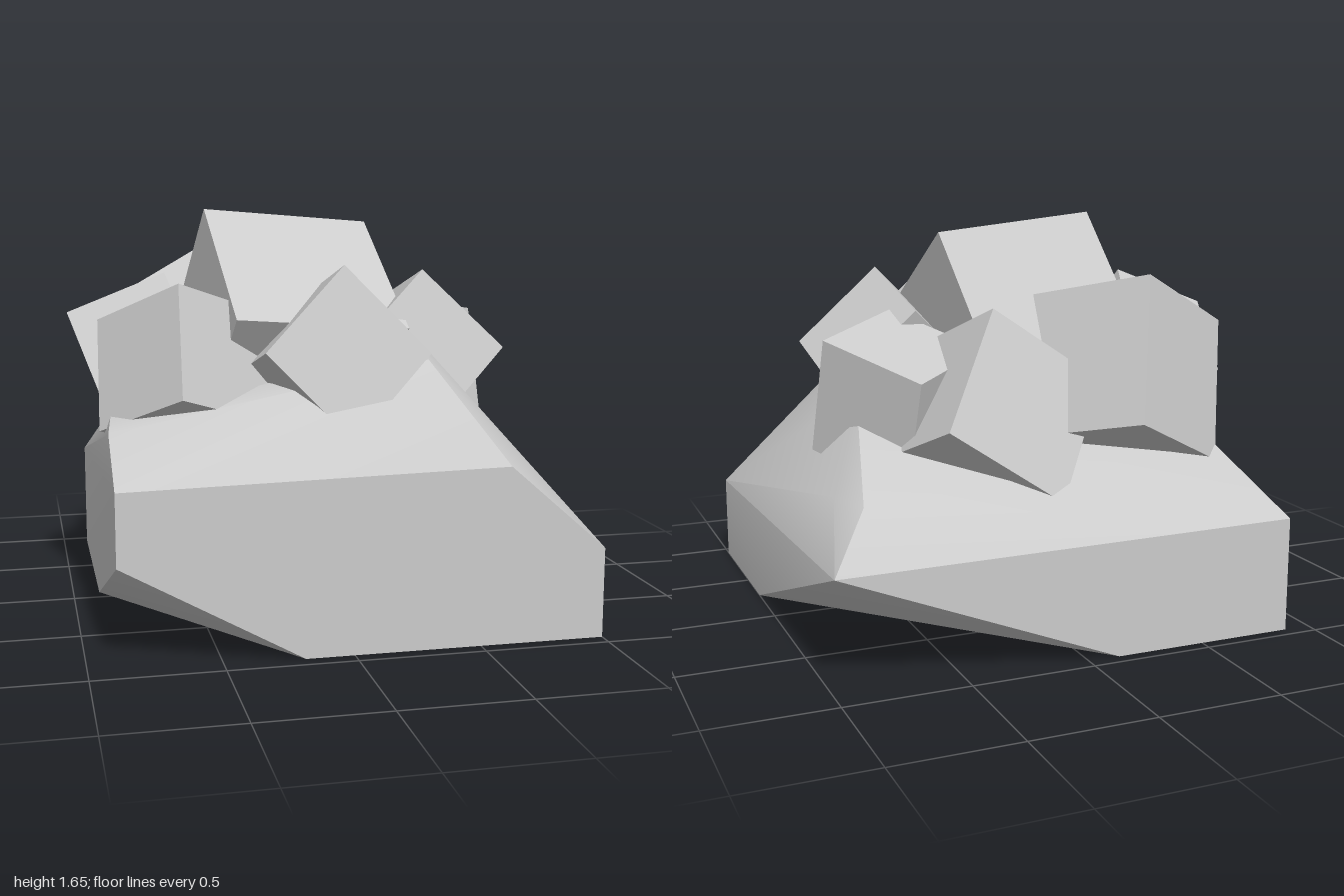
import * as THREE from 'three';
import { toCreasedNormals } from 'three/addons/utils/BufferGeometryUtils.js';
import { ConvexGeometry } from 'three/addons/geometries/ConvexGeometry.js';

const material = new THREE.MeshStandardMaterial({ color: 0xcccccc });
const vec = (p) => new THREE.Vector3(...p);

// A box given by one corner and the three edges leaving it
function block(name, corner, ...edges) {
  let [a, b, c] = edges.map(vec);
  if (a.clone().cross(b).dot(c) < 0) [a, b] = [b, a];
  const geometry = new THREE.BoxGeometry(1, 1, 1).translate(0.5, 0.5, 0.5);
  geometry.applyMatrix4(new THREE.Matrix4().makeBasis(a, b, c).setPosition(vec(corner)));
  geometry.computeVertexNormals();
  const mesh = new THREE.Mesh(geometry, material);
  mesh.name = name;
  return mesh;
}

// Chipped boulder: the convex hull of its corners
function baseRock() {
  const corners = [
    // underside
    [-0.89, 0, -0.95], [-0.13, 0, -0.95], [1, 0, 0.28],
    [1, 0, 0.94], [-0.19, 0, 0.94], [-0.89, 0, -0.07],
    // upright sides
    [-0.89, 0.39, 0.94], [-0.89, 0.67, 0.94], [0.61, 0.7, 0.94],
    [1, 0.36, 0.94], [1, 0.455, -0.95], [-0.89, 0.47, -0.95],
    // sloping top
    [-0.89, 0.84, 0.7], [0.36, 1.08, 0.66], [0.43, 1.08, 0.45],
    [0.66, 0.94, -0.12], [0.9, 0.66, -0.61], [0.84, 0.66, -0.79],
    [-0.71, 0.73, -0.65], [-0.85, 0.88, 0.35],
  ];
  const mesh = new THREE.Mesh(toCreasedNormals(new ConvexGeometry(corners.map(vec)), 0.6), material);
  mesh.name = 'baseRock';
  return mesh;
}

export function createModel() {
  const model = new THREE.Group();
  model.name = 'rockPile';
  model.add(baseRock());

  // Tumbled cubes heaped on the boulder
  const cubes = [
    ['centreCube', [-0.42, 1.65, -0.02], [0.72, -0.06, -0.1], [0.04, -0.41, 0.58], [-0.1, -0.57, -0.4]],
    ['frontCube', [0.03, 1.45, 0.62], [0.33, -0.34, 0.08], [-0.33, -0.32, 0.11], [-0.02, -0.13, -0.46]],
    ['frontLeftCube', [0.425, 1.41, 0.35], [0.33, -0.32, 0.07], [-0.33, -0.31, 0.12], [-0.03, -0.14, -0.45]],
    ['leftCube', [0.825, 1.19, -0.23], [-0.365, 0.07, 0.28], [0.025, -0.46, 0.11], [-0.285, -0.135, -0.35]],
    ['backCube', [0.23, 1.325, -0.54], [0.28, -0.415, -0.26], [-0.468, -0.316, 0], [0.145, -0.216, 0.5]],
    ['backRightCube', [-0.36, 1.45, -0.71], [0.14, -0.54, -0.235], [-0.48, -0.24, 0.27], [0.32, -0.12, 0.46]],
    ['frontRightCube', [-0.605, 1.385, 0.57], [-0.285, -0.165, -0.34], [-0.015, -0.415, 0.21], [0.376, -0.139, -0.248]],
    ['rightCube', [-0.595, 1.39, 0.015], [-0.405, -0.16, -0.01], [0.13, -0.36, 0.28], [0.107, -0.25, -0.37]],
  ];
  for (const cube of cubes) model.add(block(...cube));
  return model;
}
